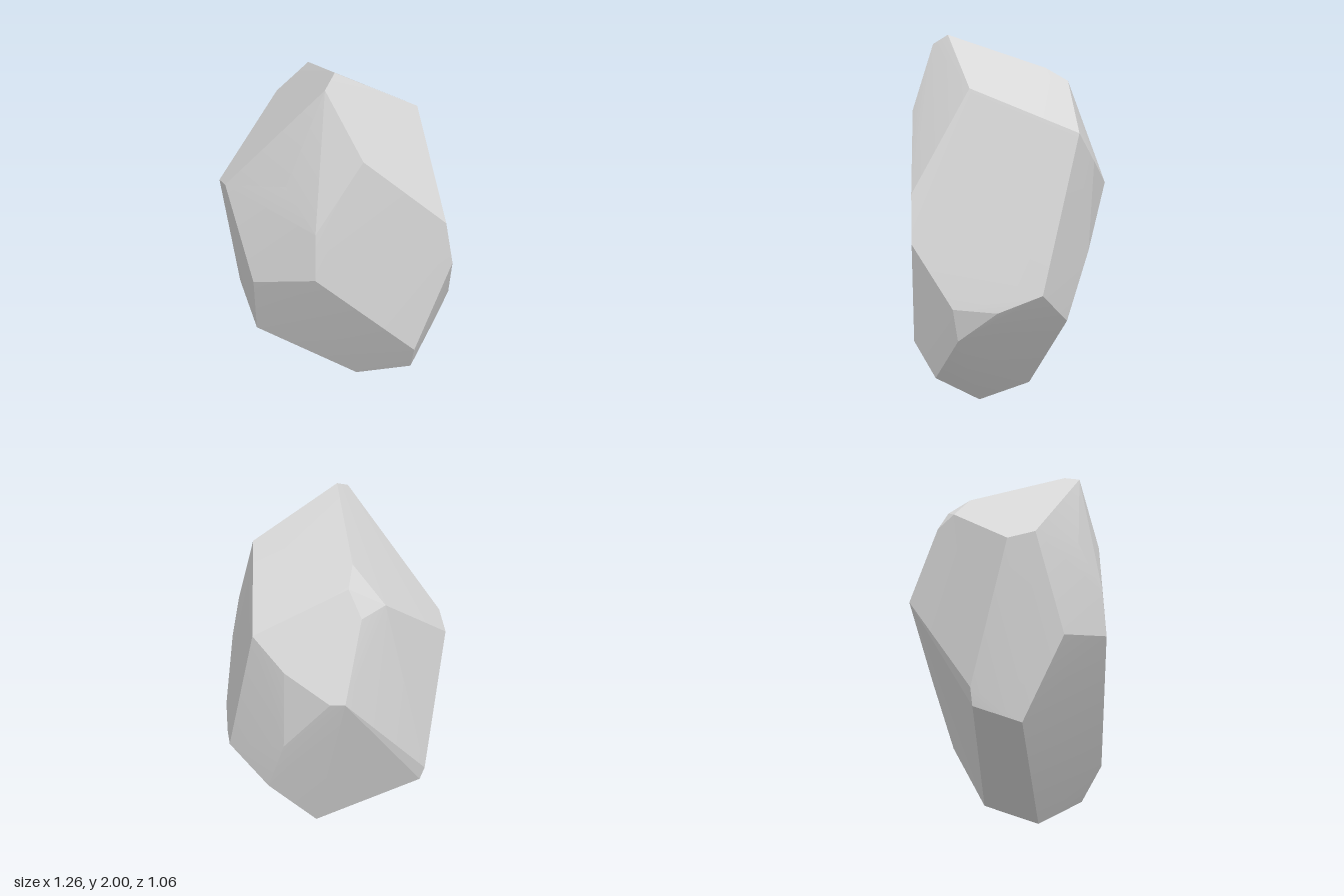
import * as THREE from 'three';
import { ConvexGeometry } from 'three/addons/geometries/ConvexGeometry.js';
import { toCreasedNormals } from 'three/addons/utils/BufferGeometryUtils.js';

// Corners of the stone, grouped by region: [x, y, z]
const corners = {
  crown: [[0.02, 2, 0.29], [0, 1.95, 0.39], [0.37, 1.73, 0], [-0.26, 1.82, -0.17], [-0.29, 1.75, -0.29]],
  front: [[0.2, 1.6, 0.415], [-0.02, 1.2, 0.515], [-0.19, 1.42, 0.455], [-0.02, 0.93, 0.53], [-0.39, 0.8, 0.45]],
  leftSide: [[0.59, 1.2, 0.225], [0.63, 0.95, 0.205], [0.58, 0.62, 0], [0.52, 0.44, 0], [0.47, 0.595, -0.2],
    [0.35, 0.68, -0.4], [0.46, 0.4, 0.285]],
  rightSide: [[-0.55, 1.33, 0.37], [-0.63, 1.28, 0.25], [-0.44, 1.63, -0.17], [-0.37, 1.61, -0.31],
    [-0.625, 0.5, 0.05], [-0.6, 0.41, 0.05], [-0.46, 0.34, 0.25]],
  back: [[0.13, 1.5, -0.51], [-0.05, 1.34, -0.53], [-0.29, 1.2, -0.51], [-0.36, 1.2, -0.48],
    [-0.03, 0.86, -0.51], [0.1, 0.5, -0.44]],
  foot: [[0.08, 0, 0.08], [0.42, 0.2, 0.18], [-0.06, 0.09, -0.16]],
};

export function createModel() {
  const group = new THREE.Group();
  group.name = 'rock';
  const stoneGrey = new THREE.MeshStandardMaterial({ color: 0xd8d8d8 });
  stoneGrey.name = 'stone grey';

  // Chipped convex boulder: sharp ridges between broad, nearly flat facets
  const points = Object.values(corners).flat().map((p) => new THREE.Vector3(...p));
  const geometry = toCreasedNormals(new ConvexGeometry(points), 0.15);
  const stone = new THREE.Mesh(geometry, stoneGrey);
  stone.name = 'facetedStone';
  group.add(stone);
  return group;
}
